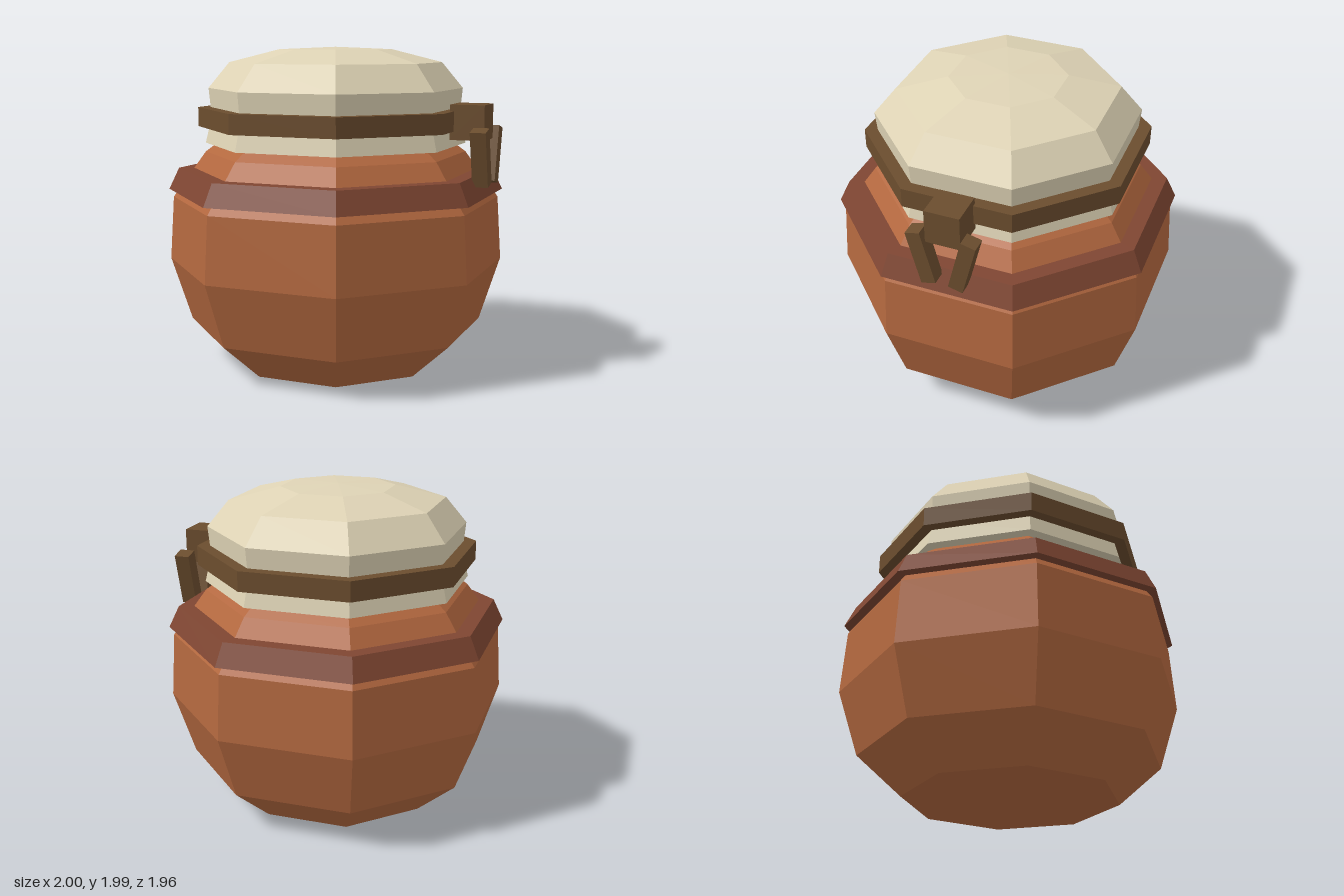
import * as THREE from 'three';

const SIDES = 8;
const CENTRE_X = -0.02;

function makeMaterial(name, color) {
  const m = new THREE.MeshStandardMaterial({ color, flatShading: true });
  m.name = name;
  return m;
}

// Octagonal solid with flat faces along the axes; profile is [apothem, y] from bottom to top
function octagon(name, profile, material) {
  const k = 1 / Math.cos(Math.PI / SIDES);
  const points = profile.map(([a, y]) => new THREE.Vector2(a * k, y));
  const mesh = new THREE.Mesh(new THREE.LatheGeometry(points, SIDES, Math.PI / SIDES), material);
  mesh.name = name;
  mesh.position.x = CENTRE_X;
  return mesh;
}

function box(name, size, position, material) {
  const mesh = new THREE.Mesh(new THREE.BoxGeometry(...size), material);
  mesh.name = name;
  mesh.position.set(...position);
  return mesh;
}

export function createModel() {
  const terracotta = makeMaterial('terracotta', 0xb3683f);
  const darkClay = makeMaterial('darkClay', 0x7f4632);
  const cream = makeMaterial('cream', 0xded3b5);
  const leather = makeMaterial('leather', 0x6b4d2e);

  const jar = new THREE.Group();
  jar.name = 'jar';

  // Rounded pot body
  jar.add(octagon('body', [
    [0, 0], [0.61, 0], [0.86, 0.24], [0.98, 0.64], [0.955, 1.04],
    [0.76, 1.33], [0.685, 1.39], [0, 1.39],
  ], terracotta));

  // Sloping collar around the shoulder
  jar.add(octagon('collar', [
    [0.8, 1.09], [0.98, 1.09], [0.92, 1.225], [0.8, 1.225],
  ], darkClay));

  // Lid, slightly waisted under its band, with a shallow peak
  jar.add(octagon('lid', [
    [0, 1.385], [0.76, 1.385], [0.722, 1.55], [0.738, 1.73],
    [0.615, 1.89], [0.325, 1.97], [0, 1.985],
  ], cream));

  // Strap around the lid
  jar.add(octagon('lidBand', [
    [0.7, 1.49], [0.8, 1.49], [0.8, 1.61], [0.7, 1.61],
  ], leather));

  // Knot with two hanging ends on the left side
  const knot = new THREE.Group();
  knot.name = 'knot';
  knot.add(box('knotBlock', [0.21, 0.21, 0.21], [0.86, 1.545, 0], leather));
  for (const side of [1, -1]) {
    const end = box(side > 0 ? 'frontStrapEnd' : 'backStrapEnd',
      [0.095, 0.34, 0.09], [0.9525, 1.343, side * 0.123], leather);
    end.rotation.x = side * 0.25;
    knot.add(end);
  }
  jar.add(knot);

  return jar;
}
